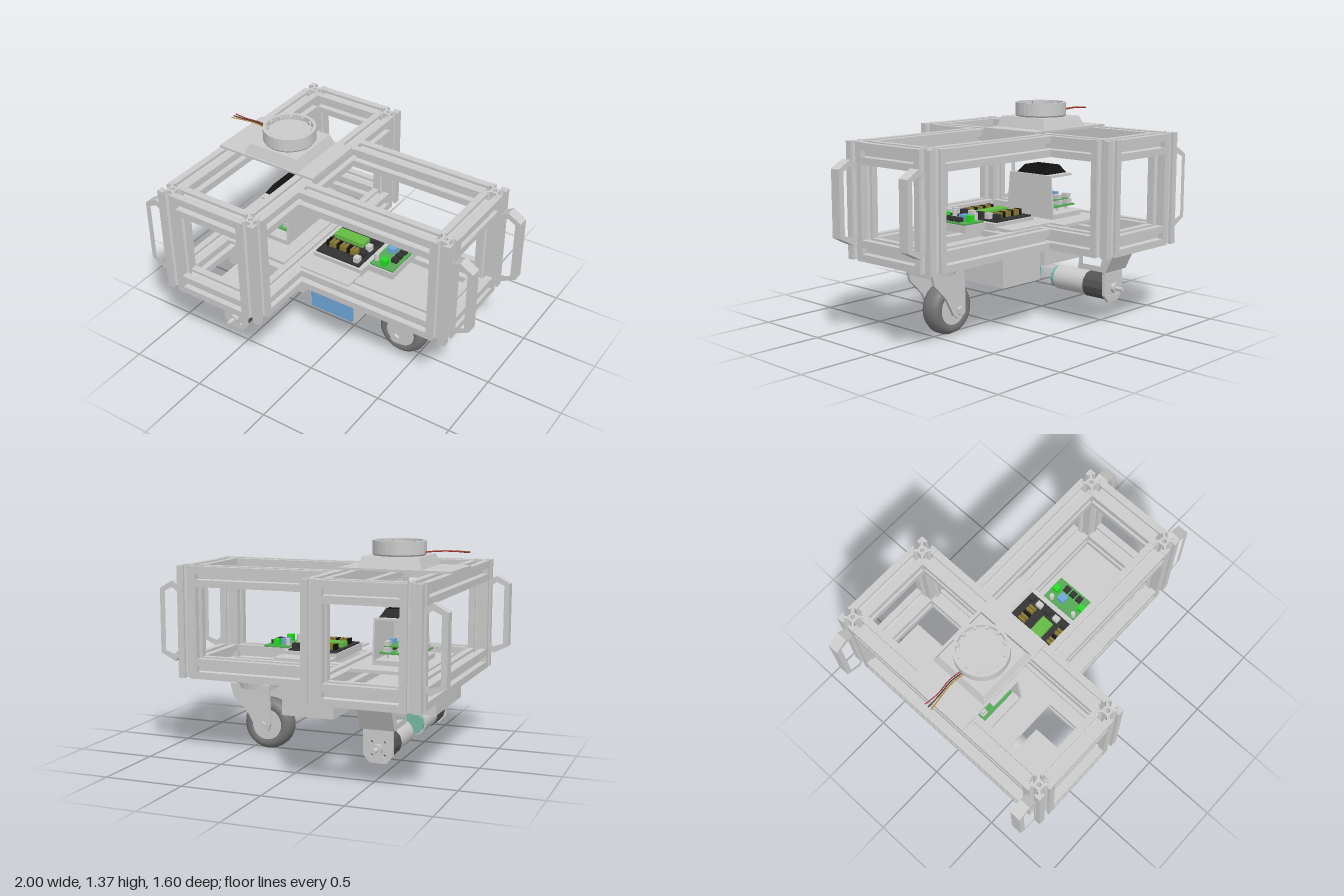
import * as THREE from 'three';

const mat = (color = 0xcccccc) => new THREE.MeshStandardMaterial({ color, flatShading: true });
const GREY = mat(), DARK = mat(0x333333), BLACK = mat(0x111111), BLUE = mat(0x6fa8dc);
const GREEN = mat(0x55aa55), LIME = mat(0x22dd22), TEAL = mat(0x77b8a0), GOLD = mat(0x8a7a30), TYRE = mat(0x777777);
const SMOOTH = new THREE.MeshStandardMaterial({ color: 0xcccccc });

export function createModel() {
  const root = new THREE.Group();

  const add = (name, geo, material = GREY, x = 0, y = 0, z = 0) => {
    const m = new THREE.Mesh(geo, material);
    m.name = name;
    m.position.set(x, y, z);
    root.add(m);
    return m;
  };
  // box given by its min and max on each axis
  const box = (name, x0, x1, y0, y1, z0, z1, material) =>
    add(name, new THREE.BoxGeometry(x1 - x0, y1 - y0, z1 - z0), material, (x0 + x1) / 2, (y0 + y1) / 2, (z0 + z1) / 2);
  const cylZ = (name, r, z0, z1, x, y, material, sides = 24) =>
    add(name, new THREE.CylinderGeometry(r, r, z1 - z0, sides).rotateX(Math.PI / 2), material, x, y, (z0 + z1) / 2);
  const outline = pts => new THREE.Shape(pts.map(p => new THREE.Vector2(...p)));
  const hole = (x, y, r) => new THREE.Path().absarc(x, y, r, 0, Math.PI * 2, true);
  const extrude = (shape, depth) =>
    new THREE.ExtrudeGeometry(shape, { depth, bevelEnabled: false, curveSegments: 8 }).translate(0, 0, -depth / 2);

  // T-slot profile: one slotted side turned four times
  const h = 0.064, side = [[h, -h], [h, -0.02], [0.047, -0.02], [0.047, -0.036], [0.028, -0.016],
    [0.028, 0.016], [0.047, 0.036], [0.047, 0.02], [h, 0.02]];
  const section = [];
  for (let k = 0; k < 4; k++) {
    const c = [1, 0, -1, 0][k], s = [0, 1, 0, -1][k];
    side.forEach(([x, y]) => section.push([x * c - y * s, x * s + y * c]));
  }
  const profile = outline(section);
  profile.holes.push(hole(0, 0, 0.014));
  const beam = (name, axis, len, x, y, z) => {
    const g = extrude(profile, len);
    if (axis === 'x') g.rotateY(Math.PI / 2);
    if (axis === 'y') g.rotateX(Math.PI / 2);
    add(name, g, GREY, x, y, z);
  };

  // Frame: T-shaped plan of posts and rails
  const low = 0.555, high = 1.134, mid = 0.845, back = -0.8, inner = -0.222, nose = 0.797;
  for (const s of [-1, 1]) {
    beam('outerPost', 'y', 0.71, back, mid, s * 0.735);
    beam('innerPost', 'y', 0.71, inner, mid, s * 0.735);
    beam('nosePost', 'y', 0.71, nose, mid, s * 0.292);
  }
  for (const y of [low, high]) {
    beam('crossRail', 'z', 1.342, back, y, 0);
    beam('crossRail', 'z', 1.342, inner, y, 0);
    beam('noseRail', 'z', 0.456, nose, y, 0);
    for (const s of [-1, 1]) {
      beam('endRail', 'x', 0.45, (back + inner) / 2, y, s * 0.735);
      beam('stemRail', 'x', 0.89, 0.287, y, s * 0.292);
    }
  }

  // Decks
  box('topPlate', -0.865, -0.16, 1.198, 1.212, -0.22, 0.21);
  box('rearDeck', -0.735, -0.285, 0.61, 0.63, -0.36, 0.36);
  box('stemDeck', -0.16, 0.735, 0.482, 0.496, -0.23, 0.23);
  box('undersideBox', -0.8, -0.2, 0.37, 0.49, -0.28, 0.28);

  // Bumper loops on the outer posts
  const loop = outline([[0, 1.07], [0.05, 1.1], [0.135, 1.05], [0.135, 0.64], [0.035, 0.59], [0, 0.63]]);
  loop.holes.push(new THREE.Path([[0.01, 1.03], [0.05, 1.06], [0.1, 1.035], [0.1, 0.655], [0.04, 0.635], [0.01, 0.66]]
    .map(p => new THREE.Vector2(...p))));
  for (const s of [-1, 1]) {
    add('noseBumper', extrude(loop, 0.07), GREY, 0.864, 0, s * 0.292);
    add('rearBumper', extrude(loop, 0.07).rotateY(Math.PI), GREY, -0.864, 0, s * 0.735);
  }

  // Battery box with coloured side panel
  box('batteryBox', -0.155, 0.185, 0.29, 0.485, -0.28, 0.27);
  box('batteryPanel', -0.14, 0.17, 0.305, 0.475, 0.268, 0.284, BLUE);

  // Drive motors with brackets
  const mx = -0.54, my = 0.215;
  const mount = outline([[0.66, 0.49], [0.58, 0.33], [0.36, 0.33], [0.38, 0.49]]);
  mount.holes.push(new THREE.Path([[0.56, 0.44], [0.54, 0.365], [0.4, 0.365], [0.4, 0.44]]
    .map(p => new THREE.Vector2(...p))));
  const face = outline([[-0.09, 0.12], [-0.09, -0.04], [-0.05, -0.085], [0.05, -0.085], [0.09, -0.04], [0.09, 0.12]]);
  for (let i = 0; i < 4; i++) {
    const a = Math.PI / 4 + i * Math.PI / 2;
    face.holes.push(hole(Math.cos(a) * 0.055, Math.sin(a) * 0.055, 0.009));
  }
  for (const s of [-1, 1]) {
    const cyl = (name, r, z0, z1, m, n) => cylZ(name, r, Math.min(s * z0, s * z1), Math.max(s * z0, s * z1), mx, my, m, n);
    cyl('motor', 0.078, 0.13, 0.39, SMOOTH);
    cyl('gearbox', 0.085, 0.38, 0.54, mat(0x555555), 12);
    cyl('encoder', 0.07, 0.1, 0.13, TEAL, 12);
    cyl('motorHub', 0.03, 0.55, 0.59);
    cyl('motorShaft', 0.014, 0.58, 0.64, GREY, 10);
    add('motorFace', extrude(face, 0.02), GREY, mx, my, s * 0.555);
    const g = extrude(mount, 0.21).rotateY(-Math.PI / 2);
    if (s < 0) g.rotateY(Math.PI);
    add('motorMount', g, GREY, mx, 0, 0);
  }

  // Caster: swivel plate, fork and wheel
  box('casterPlate', 0.27, 0.73, 0.455, 0.485, -0.2, 0.2);
  add('casterSwivel', new THREE.CylinderGeometry(0.14, 0.13, 0.06, 24), GREY, 0.485, 0.43, 0);
  box('forkCrown', 0.36, 0.61, 0.39, 0.43, -0.115, 0.115);
  const fork = outline([[0.35, 0.43], [0.62, 0.43], [0.6, 0.35], [0.5, 0.25], [0.44, 0.14], [0.4, 0.115], [0.36, 0.13], [0.34, 0.18]]);
  for (const s of [-1, 1]) add('forkArm', extrude(fork, 0.02), GREY, 0, 0, s * 0.105);
  const tyre = [[0.1, -0.06], [0.125, -0.07], [0.15, -0.055], [0.165, -0.025], [0.165, 0.025], [0.15, 0.055], [0.125, 0.07], [0.1, 0.06]];
  add('casterTyre', new THREE.LatheGeometry(tyre.map(p => new THREE.Vector2(...p)), 32).rotateX(Math.PI / 2),
    new THREE.MeshStandardMaterial({ color: 0x777777 }), 0.39, 0.165, 0);
  cylZ('casterRim', 0.105, -0.055, 0.055, 0.39, 0.165, GREY);
  cylZ('casterAxle', 0.03, -0.135, 0.135, 0.39, 0.165, GREY, 6);

  // Rotating scanner on the top plate
  const sx = -0.475;
  add('scannerBase', new THREE.CylinderGeometry(0.25, 0.285, 0.07, 4).rotateY(Math.PI / 4), GREY, sx, 1.245, 0);
  const ring = [[0, 1.275], [0.155, 1.275], [0.165, 1.29], [0.165, 1.37], [0.145, 1.37], [0.145, 1.335], [0, 1.335]];
  add('scannerHead', new THREE.LatheGeometry(ring.map(p => new THREE.Vector2(...p)), 32), GREY, sx, 0, 0);
  for (let i = 0; i < 12; i++) {
    const a = i * Math.PI / 6;
    add('scannerNotch', new THREE.BoxGeometry(0.02, 0.02, 0.02), GREY, sx + Math.cos(a) * 0.138, 1.355, Math.sin(a) * 0.138).rotation.y = -a;
  }
  [0xaa3333, 0x333333, 0xbb8833].forEach((c, i) => {
    const z = (i - 1) * 0.012;
    const path = new THREE.CatmullRomCurve3([[-0.63, 1.3, z], [-0.72, 1.31, z - 0.01], [-0.82, 1.312, z], [-0.91, 1.308, z * 2]]
      .map(p => new THREE.Vector3(...p)));
    add('scannerCable', new THREE.TubeGeometry(path, 10, 0.004, 5), mat(c));
  });

  // Sensor stand with tapered back plate and shelf
  const stand = outline([[-0.2, 0.63], [0.2, 0.63], [0.175, 0.905], [-0.175, 0.905]]);
  add('standPlate', extrude(stand, 0.012).rotateY(-Math.PI / 2), GREY, -0.378, 0, 0);
  box('standShelf', -0.585, -0.372, 0.896, 0.91, -0.175, 0.175);
  add('sensor', new THREE.CylinderGeometry(0.7, 1, 0.05, 4).rotateY(Math.PI / 4).scale(0.14, 1, 0.18), BLACK, -0.49, 0.935, 0);

  // Computer board stack under the stand
  box('computerTray', -0.65, -0.39, 0.63, 0.66, -0.2, 0.2);
  box('computerBoard', -0.65, -0.4, 0.69, 0.7, -0.15, 0.15, GREEN);
  box('upperBoard', -0.63, -0.42, 0.73, 0.738, -0.12, 0.12, GREEN);
  for (const x of [-0.62, -0.53, -0.44]) for (const z of [-0.1, 0, 0.1]) {
    box('boardPart', x - 0.02, x + 0.02, 0.7, 0.73, z - 0.03, z + 0.03, z ? GREY : DARK);
    box('boardSocket', x - 0.015, x + 0.015, 0.738, 0.765, z - 0.025, z + 0.025, z ? GREY : BLUE);
    box('boardStandoff', x - 0.006, x + 0.006, 0.655, 0.69, z - 0.006, z + 0.006);
  }

  // Main controller in the stem
  box('controllerBase', -0.155, 0.2, 0.64, 0.685, -0.225, 0.225);
  box('controllerBoard', -0.145, 0.17, 0.685, 0.695, -0.21, 0.21, DARK);
  box('controllerModule', -0.125, 0.09, 0.695, 0.725, -0.04, 0.04, mat(0x66bb44));
  for (const z of [-0.13, 0.11]) for (let i = 0; i < 9; i++) {
    const x = -0.12 + i * 0.025;
    box('headerPin', x, x + 0.015, 0.695, 0.73, z - 0.025, z + 0.025, i % 3 ? GOLD : BLACK);
  }
  for (let i = 0; i < 6; i++) {
    const z = -0.18 + i * 0.07;
    box('terminal', 0.115, 0.15, 0.695, 0.73, z - 0.02, z + 0.02, i % 2 ? GREY : DARK);
  }
  for (const s of [-1, 1]) box('controllerClip', -0.155, 0.2, 0.635, 0.685, s * 0.3 - 0.068, s * 0.3 + 0.068).scale.y = 0.2;

  // Motor driver board beside it
  box('driverBase', 0.2, 0.375, 0.64, 0.685, -0.15, 0.15);
  box('driverBoard', 0.205, 0.37, 0.685, 0.695, -0.14, 0.14, GREEN);
  box('driverChip', 0.24, 0.29, 0.695, 0.73, -0.06, -0.01, BLUE);
  for (const s of [-1, 1]) {
    box('driverTerminal', 0.27, 0.31, 0.695, 0.735, s * 0.105 - 0.02, s * 0.105 + 0.02, LIME);
    add('driverCapacitor', new THREE.CylinderGeometry(0.015, 0.015, 0.05, 12), GREY, 0.225, 0.715, s * 0.09);
  }
  for (let i = 0; i < 3; i++) box('driverSocket', 0.31, 0.35, 0.695, 0.72, -0.07 + i * 0.05, -0.035 + i * 0.05, DARK);
  return root;
}
